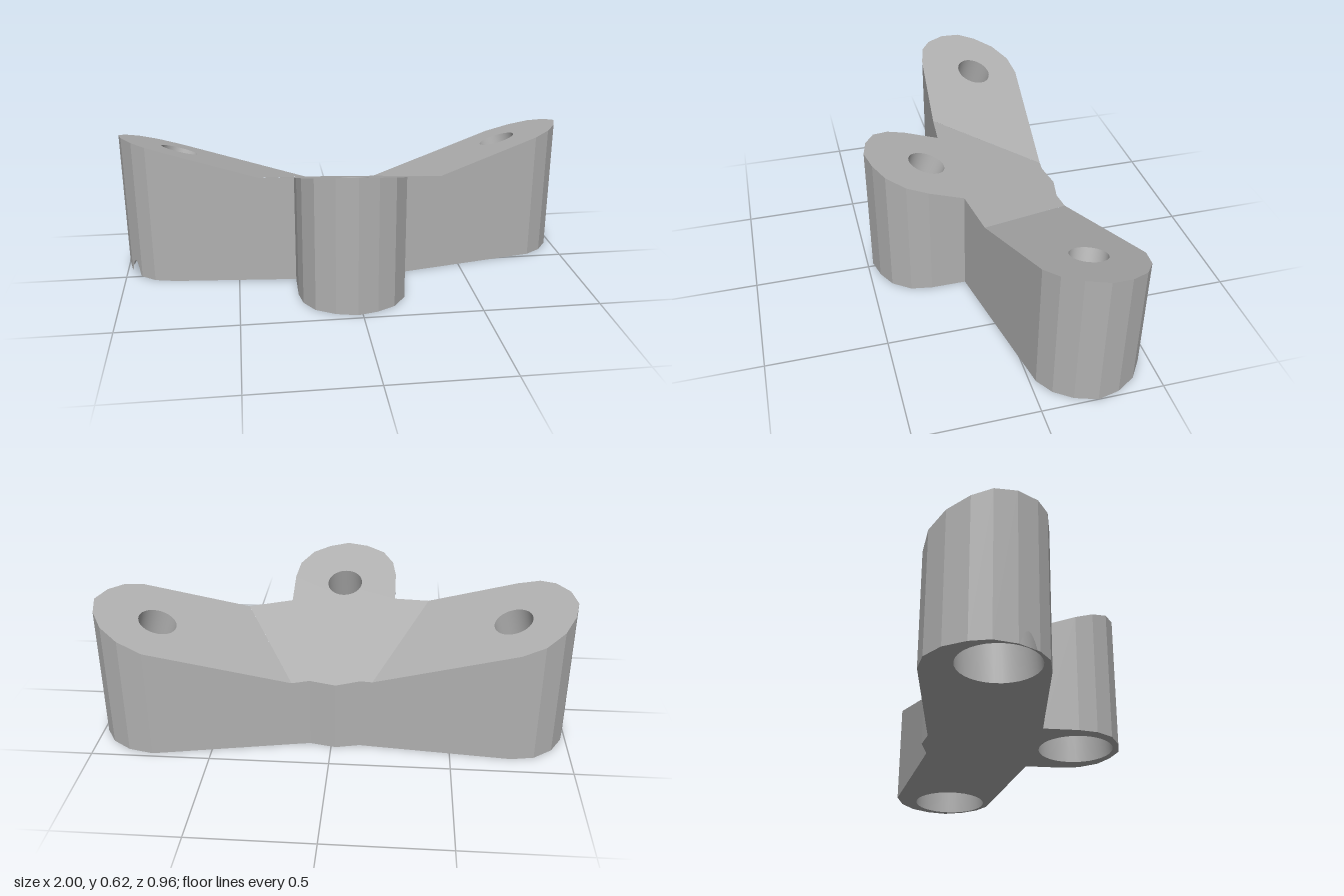
import * as THREE from 'three';
import { mergeGeometries } from 'three/addons/utils/BufferGeometryUtils.js';

const V2 = (x, y) => new THREE.Vector2(x, y);

// Outline of the three lobes as [x, z], split where the top creases meet the edge
const frontEdge = [[-0.4, 0.097], [-0.25, 0.11], [-0.25, 0.26], [-0.235, 0.34], [-0.19, 0.41], [-0.11, 0.455],
  [-0.02, 0.476], [0.065, 0.455], [0.14, 0.415], [0.195, 0.34], [0.21, 0.25], [0.21, 0.1], [0.4, 0.063]];
const leftLobe = [[0.85, -0.025], [0.92, -0.07], [0.97, -0.14], [1, -0.23], [0.98, -0.32], [0.93, -0.4],
  [0.85, -0.455], [0.745, -0.48]];
const backEdge = [[0.163, -0.368], [0.09, -0.355], [-0.02, -0.378], [-0.12, -0.355], [-0.17, -0.36]];
const rightLobe = [[-0.755, -0.412], [-0.85, -0.395], [-0.93, -0.335], [-0.98, -0.25], [-1, -0.17],
  [-0.98, -0.08], [-0.93, 0], [-0.87, 0.045], [-0.78, 0.065]];
const outline = [...frontEdge, ...leftLobe, ...backEdge, ...rightLobe];

// Each lobe: sloping top plane y = a + b x + c z, screw hole in the top, wider bore below
const lobes = [
  { name: 'front', plane: [0.432, -0.033, 0.343], region: [...frontEdge, ...backEdge],
    hole: [-0.02, 0.21], bore: [-0.028, 0.285], boreR: 0.16 },
  { name: 'left', plane: [0.301, 0.325, 0.146], region: [frontEdge.at(-1), ...leftLobe, backEdge[0]],
    hole: [0.735, -0.25], bore: [0.8, -0.215], boreR: 0.17 },
  { name: 'right', plane: [0.335, -0.31, 0.204], region: [backEdge.at(-1), ...rightLobe, frontEdge[0]],
    hole: [-0.742, -0.188], bore: [-0.82, -0.13], boreR: 0.158 },
];
const HOLE_R = 0.077, HOLE_DEPTH = 0.17, SEGMENTS = 32;
const planeY = ([a, b, c], x, z) => a + b * x + c * z;
const topY = (x, z) => Math.max(...lobes.map((l) => planeY(l.plane, x, z)));

const circle = ([x, z], r) => Array.from({ length: SEGMENTS }, (_, i) => {
  const t = (i / SEGMENTS) * Math.PI * 2;
  return [x + r * Math.cos(t), z + r * Math.sin(t)];
});

// Horizontal plate with holes, facing up (1) or down (-1)
function plate(points, holes, facing) {
  const map = (list) => list.map(([x, z]) => V2(x, -facing * z));
  const shape = new THREE.Shape(map(points));
  shape.holes = holes.map((h) => new THREE.Path(map(h)));
  return new THREE.ShapeGeometry(shape).rotateX((-facing * Math.PI) / 2);
}

// Tube between two rings of [x, y, z], seen from inside
function innerWall(low, high) {
  const index = [], n = low.length;
  for (let i = 0; i < n; i++) {
    const j = (i + 1) % n;
    index.push(i, j, n + j, i, n + j, n + i);
  }
  const geo = new THREE.BufferGeometry();
  geo.setAttribute('position', new THREE.Float32BufferAttribute([...low, ...high].flat(), 3));
  geo.setIndex(index);
  geo.computeVertexNormals();
  return geo;
}

// Upright wall panel between two outline points, optionally with an arched notch at its foot
function wallPanel([ax, az], [bx, bz], notched) {
  const length = Math.hypot(bx - ax, bz - az);
  const points = [V2(0, 0)];
  if (notched) {
    for (let i = -4; i <= 4; i++) {
      const s = i / 4;
      points.push(V2(0.043 + 0.038 * s, 0.001 + 0.06 * (1 - s * s)));
    }
  }
  points.push(V2(length, 0), V2(length, topY(bx, bz)), V2(0, topY(ax, az)));
  const along = new THREE.Vector3(bx - ax, 0, bz - az).normalize();
  const up = new THREE.Vector3(0, 1, 0);
  const basis = new THREE.Matrix4().makeBasis(along, up, along.clone().cross(up)).setPosition(ax, 0, az);
  return new THREE.ShapeGeometry(new THREE.Shape(points)).applyMatrix4(basis);
}

export function createModel() {
  const group = new THREE.Group();
  const grey = new THREE.MeshStandardMaterial({ color: 0xb0b0b0 });
  grey.name = 'grey';
  const add = (name, geometry) => {
    const mesh = new THREE.Mesh(geometry, grey);
    mesh.name = name;
    group.add(mesh);
  };

  // Faceted side wall all round; the right lobe's bore breaks through one panel
  add('sideWall', mergeGeometries(outline.map((p, i) =>
    wallPanel(p, outline[(i + 1) % outline.length], p[0] === -0.98 && p[1] === -0.08))));

  // Flat underside with the three bore openings
  add('underside', plate(outline, lobes.map((l) => circle(l.bore, l.boreR)), -1));

  for (const { name, plane, region, hole, bore, boreR } of lobes) {
    // Sloping top
    const rim = circle(hole, HOLE_R);
    const top = plate(region, [rim], 1);
    const pos = top.attributes.position;
    for (let i = 0; i < pos.count; i++) pos.setY(i, planeY(plane, pos.getX(i), pos.getZ(i)));
    top.computeVertexNormals();
    add(name + 'Top', top);

    // Screw hole square to the slope, ending at the ceiling of the bore
    const ceilingY = planeY(plane, ...hole) - HOLE_DEPTH;
    const end = [hole[0] + plane[1] * HOLE_DEPTH, hole[1] + plane[2] * HOLE_DEPTH];
    const at = (y) => ([x, z]) => [x, y, z];
    const endRim = circle(end, HOLE_R);
    add(name + 'ScrewHole', innerWall(endRim.map(at(ceilingY)),
      rim.map(([x, z]) => [x, planeY(plane, x, z), z])));

    // Wide bore from below and its ceiling
    const boreTop = circle(end, boreR);
    add(name + 'Bore', innerWall(circle(bore, boreR).map(at(0)), boreTop.map(at(ceilingY))));
    add(name + 'BoreCeiling', plate(boreTop, [endRim], -1).translate(0, ceilingY, 0));
  }
  return group;
}
